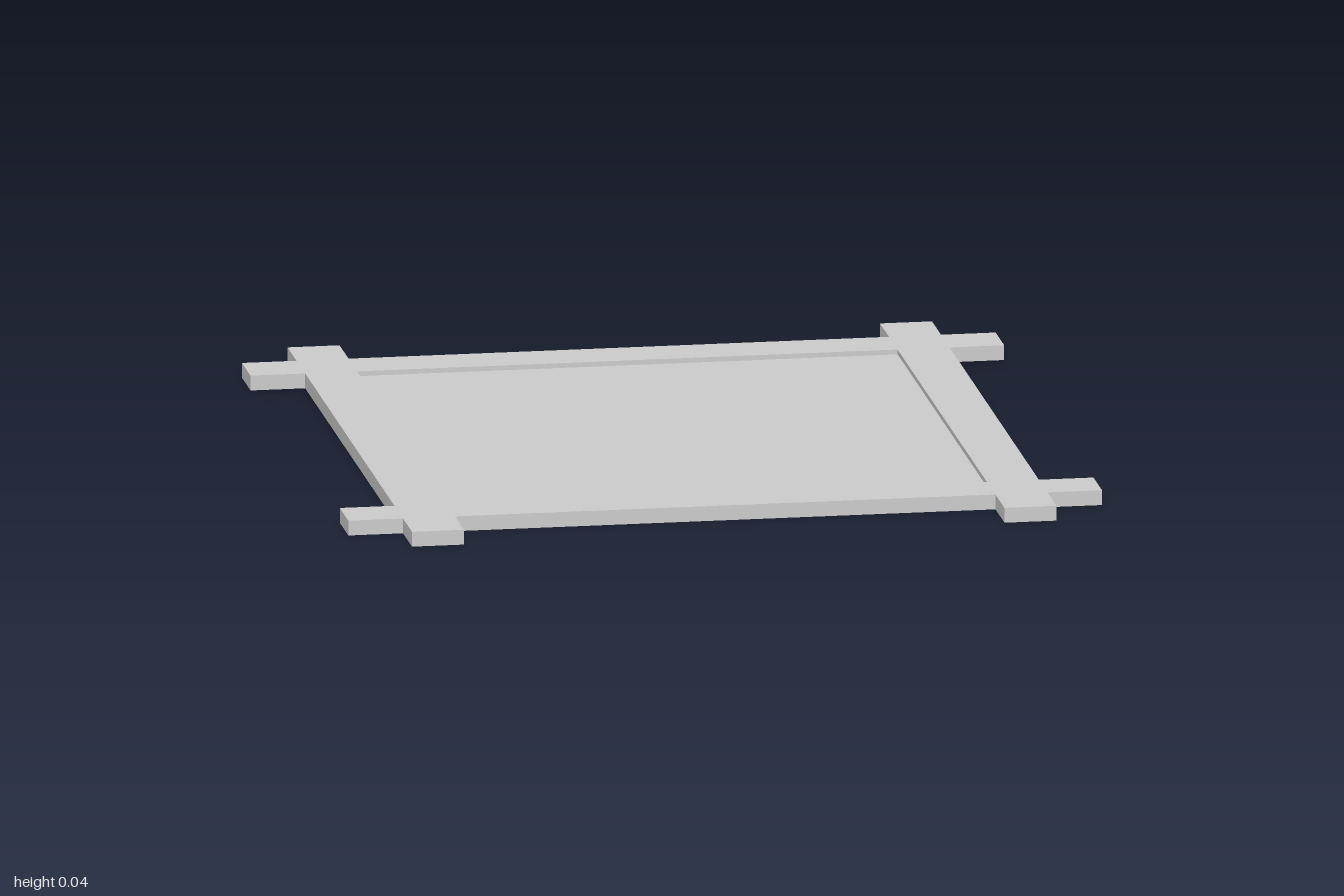
import * as THREE from 'three';

const HEIGHT = 0.04;   // top of the frame
const PANEL_Y = 0.027; // level of the sunken panel
const INNER = 0.717;   // inner edge of the bars
const OUTER = 0.855;   // outer edge of the bars
const END = 1;         // tips of the crossing bars

const material = new THREE.MeshStandardMaterial({ color: 0xcccccc, side: THREE.DoubleSide, flatShading: true });

// Repeat one corner's points four times, a quarter turn each
function fourfold(corner) {
  const points = [];
  for (let k = 0; k < 4; k++) {
    for (const [x, y] of corner) {
      const [px, py] = [[x, y], [-y, x], [-x, -y], [y, -x]][k];
      points.push(new THREE.Vector2(px, py));
    }
  }
  return points;
}

// Flat horizontal sheet from a shape
function sheet(name, shape, y) {
  const geometry = new THREE.ShapeGeometry(shape).rotateX(-Math.PI / 2).translate(0, y, 0);
  const mesh = new THREE.Mesh(geometry, material);
  mesh.name = name;
  return mesh;
}

// Upright walls along a closed outline, facing to the right of its direction
function walls(name, outline, y0, y1) {
  const positions = [];
  outline.forEach((p, i) => {
    const q = outline[(i + 1) % outline.length];
    const a = [p.x, y0, -p.y], b = [q.x, y0, -q.y];
    const c = [q.x, y1, -q.y], d = [p.x, y1, -p.y];
    positions.push(...a, ...b, ...c, ...a, ...c, ...d);
  });
  const geometry = new THREE.BufferGeometry();
  geometry.setAttribute('position', new THREE.Float32BufferAttribute(positions, 3));
  geometry.computeVertexNormals();
  const mesh = new THREE.Mesh(geometry, material);
  mesh.name = name;
  return mesh;
}

export function createModel() {
  const group = new THREE.Group();
  group.name = 'crossedCornerTray';

  // Outline of four bars that cross at the corners, and the square opening
  const outline = fourfold([
    [OUTER, INNER], [END, INNER], [END, OUTER], [OUTER, OUTER],
    [OUTER, END], [INNER, END], [INNER, OUTER],
  ]);
  const opening = fourfold([[INNER, INNER]]);

  // Frame top and outer walls, open underneath
  const top = new THREE.Shape(outline);
  top.holes.push(new THREE.Path(opening));
  group.add(sheet('frameTop', top, HEIGHT));
  group.add(walls('frameSides', outline, 0, HEIGHT));

  // Sunken panel and the step down to it
  group.add(walls('recessSides', [...opening].reverse(), PANEL_Y, HEIGHT));
  group.add(sheet('panel', new THREE.Shape(opening), PANEL_Y));

  return group;
}
